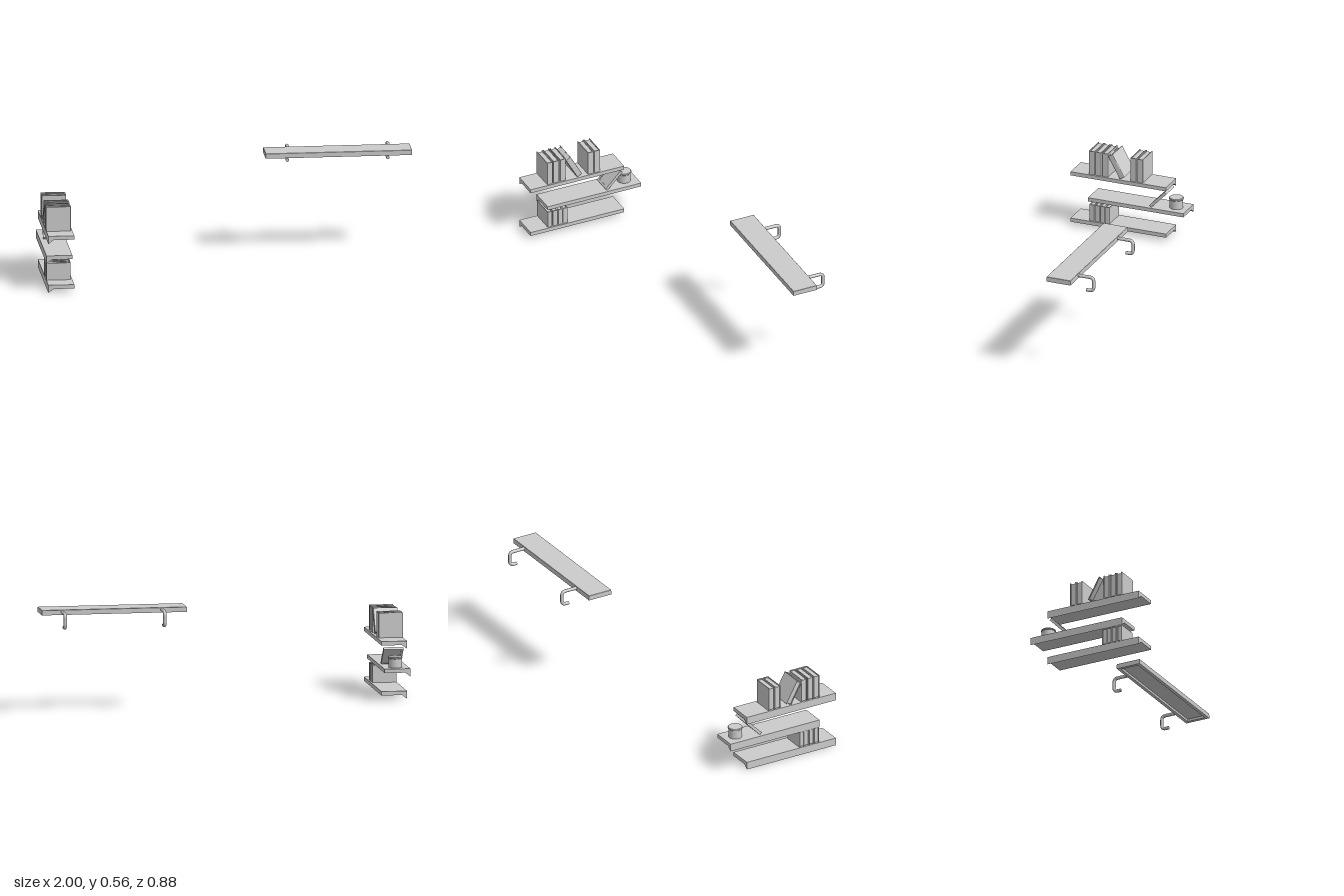
import * as THREE from 'three';
import { RoundedBoxGeometry } from 'three/addons/geometries/RoundedBoxGeometry.js';

const mat = new THREE.MeshStandardMaterial({ color: 0xcccccc, flatShading: true });
const smooth = new THREE.MeshStandardMaterial({ color: 0xcccccc });

function add(parent, name, geo, x = 0, y = 0, z = 0, m = mat) {
  const mesh = new THREE.Mesh(geo, m);
  mesh.name = name;
  mesh.position.set(x, y, z);
  parent.add(mesh);
  return mesh;
}

const polygon = (pts) => new THREE.Shape(pts.map(([x, y]) => new THREE.Vector2(x, y)));
const extrude = (shape, depth) => new THREE.ExtrudeGeometry(shape, { depth, bevelEnabled: false, curveSegments: 6 });

// Rectangular ring lying in XY, extruded along +z
function ring(w, h, border, depth) {
  const rect = (a, b) => [[-a, -b], [a, -b], [a, b], [-a, b]];
  const shape = polygon(rect(w / 2, h / 2));
  shape.holes.push(polygon(rect(w / 2 - border, h / 2 - border).reverse()));
  return extrude(shape, depth);
}

// Shelf: thin board with a wedge-shaped lip along the wall side
function shelf(top, zBack) {
  const board = polygon([[-1, top - 0.042], [-0.972, top - 0.021], [-0.862, top - 0.021], [-0.862, top], [-1, top]]);
  return extrude(board, 0.548).translate(0, 0, zBack);
}

// Book: folded cover with a rounded spine at +x, and inset pages
function book(width, height, thick) {
  const g = new THREE.Group();
  g.name = 'book';
  const a = width / 2, b = thick / 2, t = 0.004, r = 0.006;
  const s = new THREE.Shape();
  s.moveTo(-a, -b);
  s.lineTo(a - r, -b);
  s.quadraticCurveTo(a, -b, a, -b + r);
  s.lineTo(a, b - r);
  s.quadraticCurveTo(a, b, a - r, b);
  s.lineTo(-a, b);
  s.lineTo(-a, b - t);
  s.lineTo(a - r, b - t);
  s.lineTo(a - r, -b + t);
  s.lineTo(-a, -b + t);
  s.closePath();
  add(g, 'cover', extrude(s, height).rotateX(-Math.PI / 2));
  add(g, 'pages', new THREE.BoxGeometry(width - 0.01, height - 0.01, thick - 2 * t), 0, height / 2, 0);
  return g;
}

export function createModel() {
  const model = new THREE.Group();
  model.name = 'shelvesAndWallBench';

  // Staggered wall shelves
  [['lowerShelf', 0.043, -0.105], ['middleShelf', 0.177, -0.205], ['upperShelf', 0.31, -0.105]]
    .forEach(([name, top, z]) => add(model, name, shelf(top, z)));

  // Upright books on the upper and lower shelves
  const placeBook = (y, z, height, thick, tilt = 0) => {
    const b = book(0.13, height, thick);
    b.position.set(-0.935, y, z);
    b.rotation.x = tilt;
    model.add(b);
  };
  [0.325, 0.288, 0.249, 0.086, 0.049].forEach((z) => placeBook(0.31, z, 0.133, 0.034));
  [0.325, 0.294, 0.264, 0.236].forEach((z) => placeBook(0.043, z, 0.093, 0.028));

  // Leaning book
  placeBook(0.318, 0.152, 0.137, 0.032, 0.507);

  // Leaning picture frame on the middle shelf
  const frame = new THREE.Group();
  frame.name = 'pictureFrame';
  add(frame, 'frameBorder', ring(0.106, 0.127, 0.012, 0.016).translate(0, 0.0635, -0.008));
  add(frame, 'picturePanel', new THREE.BoxGeometry(0.086, 0.107, 0.008), 0, 0.0635, 0);
  frame.position.set(-0.928, 0.18, -0.008);
  frame.rotation.x = -0.766;
  model.add(frame);

  // Jar with a rounded lid
  const jar = new THREE.Group();
  jar.name = 'jar';
  add(jar, 'jarBody', new THREE.CylinderGeometry(0.036, 0.036, 0.05, 32), 0, 0.025, 0, smooth);
  const lid = [[0, 0.047], [0.036, 0.047], [0.039, 0.05], [0.039, 0.055], [0.036, 0.058], [0, 0.058]];
  add(jar, 'jarLid', new THREE.LatheGeometry(lid.map(([x, y]) => new THREE.Vector2(x, y)), 32));
  jar.position.set(-0.93, 0.177, -0.136);
  model.add(jar);

  // Wall bench: top board with a rim hanging below it
  const bench = new THREE.Group();
  bench.name = 'wallBench';
  add(bench, 'benchTop', new RoundedBoxGeometry(0.778, 0.014, 0.138, 2, 0.003), 0.611, 0.551, -0.276);
  add(bench, 'benchRim', ring(0.778, 0.138, 0.018, 0.02).rotateX(-Math.PI / 2), 0.611, 0.531, -0.276);

  // Hooked pipe brackets with rounded bends
  const path = new THREE.CurvePath();
  const p = (y, z) => new THREE.Vector3(0, y, z);
  const r = 0.022;
  path.add(new THREE.LineCurve3(p(0.546, -0.335), p(0.546, -0.432 + r)));
  path.add(new THREE.QuadraticBezierCurve3(p(0.546, -0.432 + r), p(0.546, -0.432), p(0.546 - r, -0.432)));
  path.add(new THREE.LineCurve3(p(0.546 - r, -0.432), p(0.471 + r, -0.432)));
  path.add(new THREE.QuadraticBezierCurve3(p(0.471 + r, -0.432), p(0.471, -0.432), p(0.471, -0.432 + r)));
  path.add(new THREE.LineCurve3(p(0.471, -0.432 + r), p(0.471, -0.391)));
  for (const x of [0.356, 0.89]) {
    add(bench, 'pipeBracket', new THREE.TubeGeometry(path, 40, 0.009, 12), x, 0, 0, smooth);
    add(bench, 'pipeEnd', new THREE.CircleGeometry(0.009, 12), x, 0.471, -0.391);
  }
  model.add(bench);
  return model;
}
